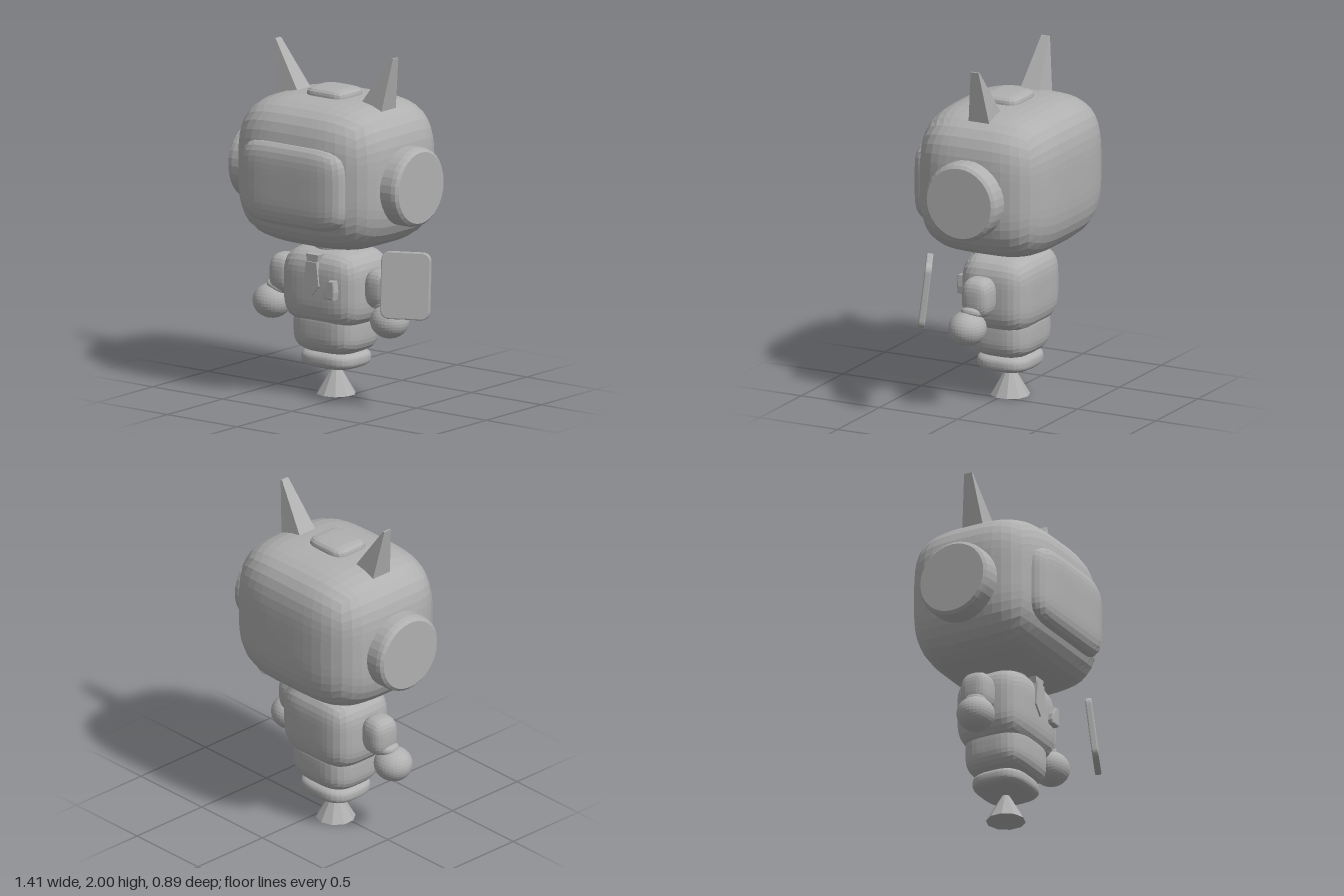
import * as THREE from 'three';

const CX = -0.093; // the body's own centre line
const CZ = -0.02;

export function createModel() {
  const root = new THREE.Group();
  const grey = new THREE.MeshStandardMaterial({ color: 0xb0b0b0, flatShading: true });
  grey.name = 'plain grey';

  function add(name, geometry, x = 0, y = 0, z = 0) {
    const mesh = new THREE.Mesh(geometry, grey);
    mesh.name = name;
    mesh.position.set(x, y, z);
    root.add(mesh);
    return mesh;
  }

  // Rounded block: a gridded cube pushed onto a superellipsoid of power n
  function blob(hx, hy, hz, n, seg = 10) {
    const g = new THREE.BoxGeometry(2, 2, 2, seg, seg, seg);
    const p = g.attributes.position;
    for (let i = 0; i < p.count; i++) {
      const v = [p.getX(i), p.getY(i), p.getZ(i)].map((c) => Math.tan((c * Math.PI) / 4));
      const k = Math.pow(v.reduce((s, c) => s + Math.abs(c) ** n, 0), -1 / n);
      p.setXYZ(i, v[0] * k * hx, v[1] * k * hy, v[2] * k * hz);
    }
    g.computeVertexNormals();
    return g;
  }

  function plate(points, depth, bevel = 0) {
    return new THREE.ExtrudeGeometry(new THREE.Shape(points.map(([x, y]) => new THREE.Vector2(x, y))), {
      depth, bevelEnabled: bevel > 0, bevelSize: bevel, bevelThickness: bevel, bevelOffset: -bevel, bevelSegments: 2,
    });
  }

  // Head, face screen and top cap
  add('head', blob(0.513, 0.428, 0.423, 3.6, 14), CX, 1.313, -0.022);
  add('faceScreen', blob(0.372, 0.248, 0.175, 4.6, 14), CX, 1.278, 0.27);
  add('topCap', blob(0.138, 0.06, 0.12, 4.5, 8), CX, 1.725, -0.005);

  // Ear discs with a rounded outer rim
  const earProfile = [[0.21, -0.1], [0.228, -0.02], [0.228, 0.06], [0.222, 0.085], [0.205, 0.1], [0, 0.1]]
    .map(([r, h]) => new THREE.Vector2(r, h));
  for (const side of [-1, 1]) {
    const ear = add(side > 0 ? 'leftEar' : 'rightEar', new THREE.LatheGeometry(earProfile, 32),
      CX + side * 0.512, 1.277, -0.018);
    ear.rotation.z = -side * Math.PI / 2;
  }

  // Horns: boxes tapered and swept outwards to a narrow tip
  for (const side of [-1, 1]) {
    const g = new THREE.BoxGeometry(1, 1, 1);
    const p = g.attributes.position;
    for (let i = 0; i < p.count; i++) {
      const outer = p.getX(i) * side > 0;
      const top = p.getY(i) > 0;
      const x = top ? (outer ? 0.427 : 0.415) : (outer ? 0.367 : 0.17);
      p.setXYZ(i, side * x, top ? 2 : 1.64, Math.sign(p.getZ(i)) * (top ? 0.025 : 0.073));
    }
    g.computeVertexNormals();
    add(side > 0 ? 'leftHorn' : 'rightHorn', g, CX, 0, CZ);
  }

  // Neck, torso and tapering tail
  add('neck', new THREE.CylinderGeometry(0.127, 0.127, 0.14, 24), CX, 0.87, CZ);
  add('torso', blob(0.275, 0.226, 0.22, 3.8, 12), CX, 0.639, CZ);
  add('belly', blob(0.223, 0.15, 0.192, 3.4), CX, 0.4, CZ);
  add('tailRing', blob(0.184, 0.058, 0.165, 3), CX, 0.218, CZ);
  add('sting', new THREE.ConeGeometry(0.113, 0.195, 10), CX, 0.1025, CZ);

  // Arms, cuffs and hands
  for (const side of [-1, 1]) {
    const label = side > 0 ? 'left' : 'right';
    add(label + 'Arm', blob(0.085, 0.115, 0.09, 2.9, 8), CX + side * 0.343, 0.66, -0.003);
    const cuff = add(label + 'Cuff', blob(0.07, 0.032, 0.065, 2.5, 6), CX + side * 0.383, 0.578, 0.012);
    cuff.rotation.z = side * 0.25;
    add(label + 'Hand', blob(0.113, 0.1, 0.108, 2, 8), CX + side * 0.422, 0.491, 0.028);
  }

  // Tie and chest badge
  add('tieKnot', plate([[-0.036, 0.8], [0.036, 0.8], [0.044, 0.845], [-0.044, 0.845]], 0.09), CX, 0, 0.11);
  add('tie', plate([[0, 0.605], [0.054, 0.665], [0.037, 0.803], [-0.037, 0.803], [-0.054, 0.665]], 0.08), CX, 0, 0.13);
  add('chestBadge', plate([[0.01, 0.605], [0.08, 0.605], [0.086, 0.65], [0.08, 0.715], [0.045, 0.715],
    [0.012, 0.665], [0.004, 0.625]], 0.06, 0.008), 0, 0, 0.16);

  // Floating tablet beside the left hand
  const w = 0.143, h = 0.192, r = 0.05;
  const outline = new THREE.Shape();
  outline.moveTo(w, h - r);
  [[w - r, h - r, 0], [r - w, h - r, 1], [r - w, r - h, 2], [w - r, r - h, 3]].forEach(([x, y, q]) =>
    outline.absarc(x, y, r, q * Math.PI / 2, (q + 1) * Math.PI / 2, false));
  const slab = new THREE.ExtrudeGeometry(outline, {
    depth: 0.024, bevelSize: 0.007, bevelThickness: 0.007, bevelOffset: -0.007, bevelSegments: 2, curveSegments: 4,
  });
  slab.translate(0, 0, -0.012);
  const tablet = add('tablet', slab, 0.559, 0.752, 0.172);
  tablet.rotation.set(-0.12, 0.46, 0, 'YXZ');

  return root;
}
